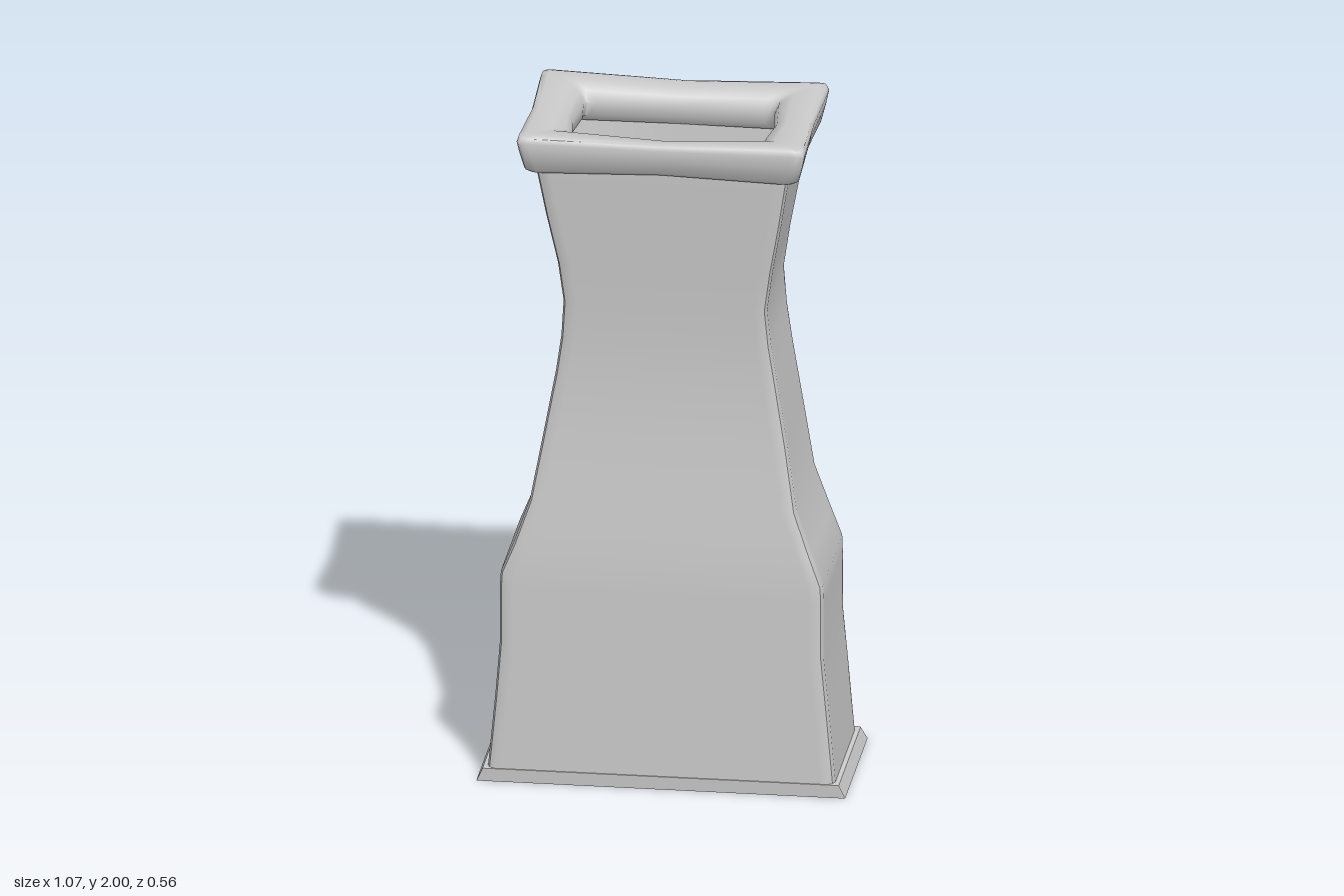
import * as THREE from 'three';
import { toCreasedNormals } from 'three/addons/utils/BufferGeometryUtils.js';

const material = new THREE.MeshStandardMaterial({ color: 0xcccccc, side: THREE.DoubleSide });

function add(parent, name, geometry, x = 0, y = 0, z = 0) {
  const mesh = new THREE.Mesh(geometry, material);
  mesh.name = name;
  mesh.position.set(x, y, z);
  parent.add(mesh);
  return mesh;
}

// Rounded rectangle section: 3 arc points, 2 guard points and 1 middle point per corner/side.
// row = [y, x0, x1, z0, z1, bulge of the side middles, dip of the side middles]
function ring([y, x0, x1, z0, z1, bulge = 0, dip = 0], r, guard) {
  const pts = [];
  const cx = (x0 + x1) / 2, cz = (z0 + z1) / 2;
  const corners = [[x1, z1, 1, 1], [x1, z0, 1, -1], [x0, z0, -1, -1], [x0, z1, -1, 1]];
  const mids = [[x1 + bulge, cz], [cx, z0 - bulge], [x0 - bulge, cz], [cx, z1 + bulge]];
  corners.forEach(([x, z, sx, sz], k) => {
    const alongX = [x - sx * guard, z], alongZ = [x, z - sz * guard];
    const arc = [0, 0.5, 1].map(t => {
      const a = t * Math.PI / 2;
      return [x - sx * r * (1 - Math.sin(a)), z - sz * r * (1 - Math.cos(a))];
    });
    const turn = [alongX, ...arc, alongZ];
    if (k % 2) turn.reverse();
    turn.forEach(p => pts.push([p[0], y, p[1]]));
    pts.push([mids[k][0], y - dip, mids[k][1]]);
  });
  return pts;
}

// Skin a stack of sections, leaving out the cells for which skip(row, column) is true
function loft(rows, r, guard, skip = () => false, crease = 0.7) {
  const rings = rows.map(row => ring(row, r, guard));
  const n = rings[0].length, pos = [];
  for (let j = 0; j + 1 < rings.length; j++) {
    for (let i = 0; i < n; i++) {
      if (skip(j, i)) continue;
      const k = (i + 1) % n;
      const a = rings[j][i], b = rings[j][k], c = rings[j + 1][k], d = rings[j + 1][i];
      pos.push(...a, ...b, ...c, ...a, ...c, ...d);
    }
  }
  const g = new THREE.BufferGeometry();
  g.setAttribute('position', new THREE.Float32BufferAttribute(pos, 3));
  return toCreasedNormals(g, crease);
}

// Columns between the guard points of the back wall
const backCell = i => i === 10 || i === 11;

export function createModel() {
  const model = new THREE.Group();
  model.name = 'chimneyFireplace';

  // Tapering chimney body, y, x0, x1, z0, z1
  const body = [
    [0.03, -0.50, 0.505, -0.22, 0.235],
    [0.26, -0.478, 0.485, -0.22, 0.235],
    [0.42, -0.465, 0.47, -0.22, 0.235],
    [0.59, -0.465, 0.47, -0.22, 0.235],
    [0.64, -0.462, 0.468, -0.22, 0.235],
    [0.73, -0.425, 0.435, -0.215, 0.23],
    [0.86, -0.38, 0.39, -0.205, 0.22],
    [1.05, -0.345, 0.362, -0.188, 0.203],
    [1.25, -0.308, 0.33, -0.18, 0.196],
    [1.36, -0.292, 0.313, -0.185, 0.199],
    [1.47, -0.285, 0.303, -0.193, 0.205],
    [1.59, -0.30, 0.32, -0.205, 0.215],
    [1.74, -0.332, 0.347, -0.215, 0.228],
    [1.9, -0.362, 0.372, -0.225, 0.24],
  ];
  add(model, 'chimneyBody', loft(body, 0.022, 0.04, (j, i) => (j === 1 || j === 2) && backCell(i)));

  // Inner flue and firebox walls, running downwards so they face inwards
  const t = 0.04;
  const inner = body.map(([y, x0, x1, z0, z1]) =>
    [y, Math.max(x0 + t, -0.45), Math.min(x1 - t, 0.45), z0 + t, z1 - t]).reverse();
  const last = inner.length - 2;
  add(model, 'flueLining', loft(inner, 0.008, 0.012,
    (j, i) => (j === last - 1 || j === last - 2) && backCell(i)));

  // Flared base skirt with a recessed underside
  add(model, 'baseSkirt', loft([
    [0.015, -0.46, 0.465, -0.19, 0.185],
    [0, -0.465, 0.47, -0.195, 0.19],
    [0, -0.53, 0.535, -0.247, 0.235],
    [0.04, -0.512, 0.517, -0.232, 0.238],
    [0.042, -0.49, 0.495, -0.21, 0.22],
  ], 0.003, 0.02, undefined, 0.3));
  add(model, 'basePlate', new THREE.BoxGeometry(0.95, 0.01, 0.39), 0, 0.02, 0);

  // Soft, slightly wavy rim around the chimney mouth
  add(model, 'topRim', loft([
    [1.885, -0.34, 0.35, -0.21, 0.22],
    [1.883, -0.375, 0.385, -0.25, 0.25, -0.006, -0.008],
    [1.893, -0.39, 0.402, -0.262, 0.26, -0.006, -0.008],
    [1.94, -0.402, 0.414, -0.272, 0.272, -0.007, 0],
    [1.98, -0.41, 0.422, -0.28, 0.28, -0.008, 0.006],
    [1.995, -0.405, 0.416, -0.274, 0.275, -0.008, 0.009],
    [2.0, -0.385, 0.395, -0.256, 0.257, -0.004, 0.011],
    [1.996, -0.32, 0.33, -0.195, 0.205, 0.006, 0.012],
    [1.98, -0.285, 0.295, -0.163, 0.172, 0.012, 0.01],
    [1.95, -0.268, 0.282, -0.15, 0.158, 0.016, 0.005],
    [1.91, -0.272, 0.285, -0.152, 0.16, 0.014],
    [1.885, -0.3, 0.31, -0.175, 0.185, 0.005],
  ], 0.018, 0.035, undefined, 1.0));

  // Frame lining the firebox opening in the back
  add(model, 'openingSill', new THREE.BoxGeometry(0.9, 0.02, 0.05), 0.004, 0.255, -0.199);
  add(model, 'openingLintel', new THREE.BoxGeometry(0.88, 0.02, 0.05), 0.003, 0.595, -0.199);
  for (const s of [-1, 1]) {
    add(model, 'openingJamb', new THREE.BoxGeometry(0.018, 0.34, 0.04), 0.003 + s * 0.439, 0.425, -0.199);
  }

  // Firebox floor
  add(model, 'fireboxFloor', new THREE.BoxGeometry(0.9, 0.02, 0.37), 0.002, 0.16, 0.007);

  // Grate of slats on long bars
  const grate = new THREE.Group();
  grate.name = 'grate';
  model.add(grate);
  for (let i = -6; i <= 6; i++) {
    add(grate, 'grateSlat', new THREE.BoxGeometry(0.03, 0.014, 0.28), i * 0.06, 0.222, 0.003);
  }
  for (const z of [-0.142, 0.148]) {
    add(grate, 'grateRail', new THREE.BoxGeometry(0.78, 0.024, 0.014), 0, 0.222, z);
  }
  add(grate, 'grateCrossBar', new THREE.CylinderGeometry(0.007, 0.007, 0.78, 10).rotateZ(Math.PI / 2), 0, 0.234, 0.003);

  // Arched fire dogs at both ends of the grate
  const arch = new THREE.CatmullRomCurve3([
    [-0.145, 0.17], [-0.143, 0.27], [-0.12, 0.35], [-0.07, 0.395], [0, 0.405],
    [0.07, 0.395], [0.12, 0.35], [0.143, 0.27], [0.145, 0.17],
  ].map(([z, y]) => new THREE.Vector3(0, y, z)));
  for (const s of [-1, 1]) {
    add(model, 'fireDogArch', new THREE.TubeGeometry(arch, 32, 0.01, 8), s * 0.3, 0, 0.003);
    for (const z of [-0.07, 0.07]) {
      add(model, 'fireDogPin', new THREE.CylinderGeometry(0.008, 0.008, 0.09, 8).rotateZ(Math.PI / 2), s * 0.3, 0.39, z);
    }
  }
  return model;
}
